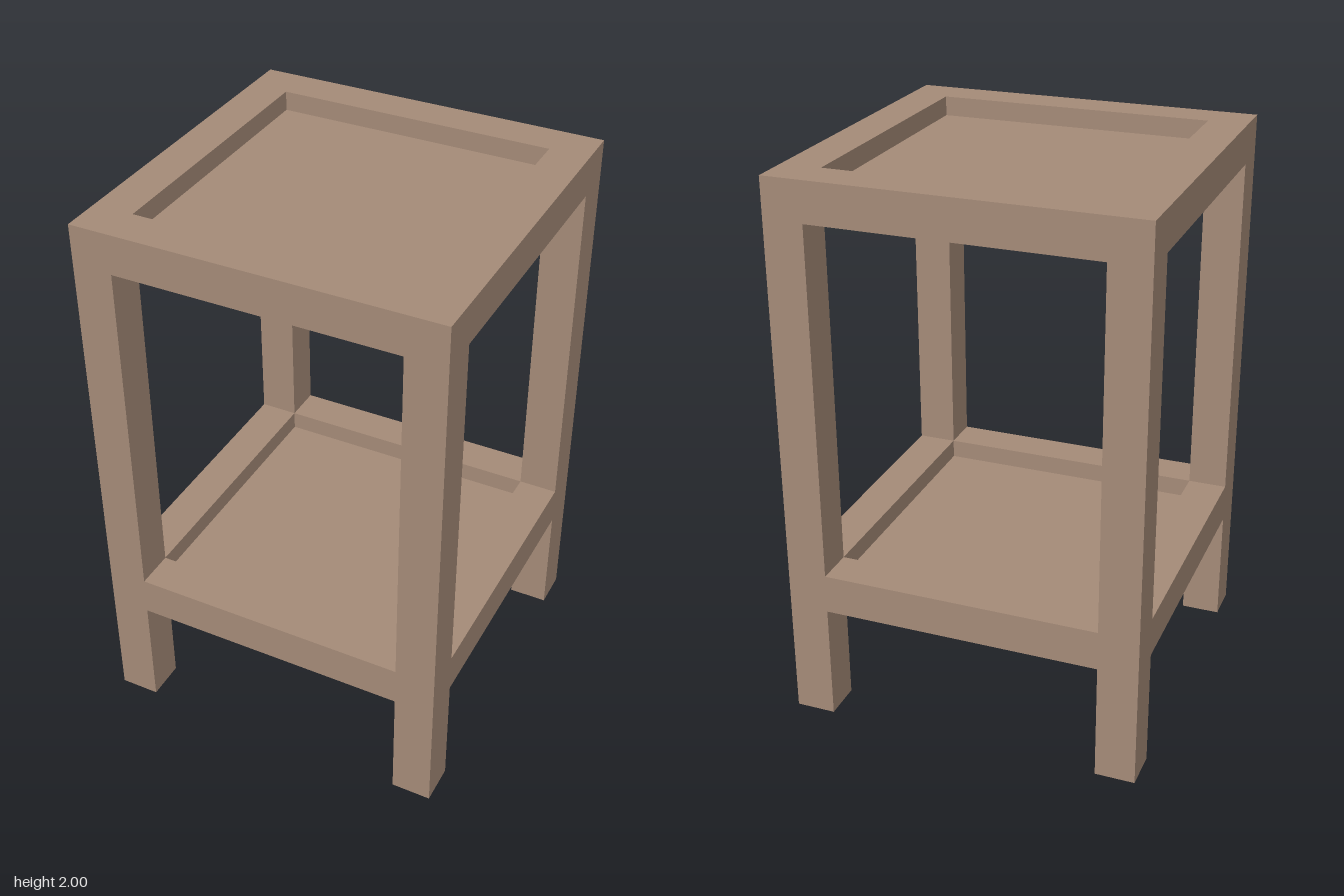
import * as THREE from 'three';

const HALF = 0.643;          // half the outer width
const T = 0.143;             // thickness of legs and rails
const INNER = HALF - T;      // half the inner opening
const HEIGHT = 2;
const SHELF_Y = 0.43;        // underside of the lower shelf
const PANEL_T = 0.073;       // panels sit flush below, recessed above

export function createModel() {
  const group = new THREE.Group();
  const wood = new THREE.MeshStandardMaterial({ color: 0xa58b78 });
  wood.name = 'wood';

  function box(name, w, h, d, x, bottom, z) {
    const mesh = new THREE.Mesh(new THREE.BoxGeometry(w, h, d), wood);
    mesh.name = name;
    mesh.position.set(x, bottom + h / 2, z);
    group.add(mesh);
  }

  const mid = HALF - T / 2;  // centre line of legs and rails
  const topY = HEIGHT - T;

  // Four square legs
  for (const [x, side] of [[mid, 'Left'], [-mid, 'Right']]) {
    for (const [z, end] of [[mid, 'front'], [-mid, 'back']]) {
      box(`${end}${side}Leg`, T, topY, T, x, 0, z);
    }
  }

  // Top frame, one continuous square ring
  const square = (r) => [[-r, -r], [r, -r], [r, r], [-r, r]].map(([x, y]) => new THREE.Vector2(x, y));
  const ring = new THREE.Shape(square(HALF));
  ring.holes.push(new THREE.Path(square(INNER).reverse()));
  const ringGeometry = new THREE.ExtrudeGeometry(ring, { depth: T, bevelEnabled: false });
  ringGeometry.rotateX(-Math.PI / 2);
  const topFrame = new THREE.Mesh(ringGeometry, wood);
  topFrame.name = 'topFrame';
  topFrame.position.y = topY;
  group.add(topFrame);

  // Lower shelf rails between the legs
  for (const s of [1, -1]) {
    box(s > 0 ? 'frontShelfRail' : 'backShelfRail', INNER * 2, T, T, 0, SHELF_Y, s * mid);
    box(s > 0 ? 'leftShelfRail' : 'rightShelfRail', T, T, INNER * 2, s * mid, SHELF_Y, 0);
  }

  // Recessed panels
  box('topPanel', INNER * 2, PANEL_T, INNER * 2, 0, topY, 0);
  box('shelfPanel', INNER * 2, PANEL_T, INNER * 2, 0, SHELF_Y, 0);

  return group;
}
